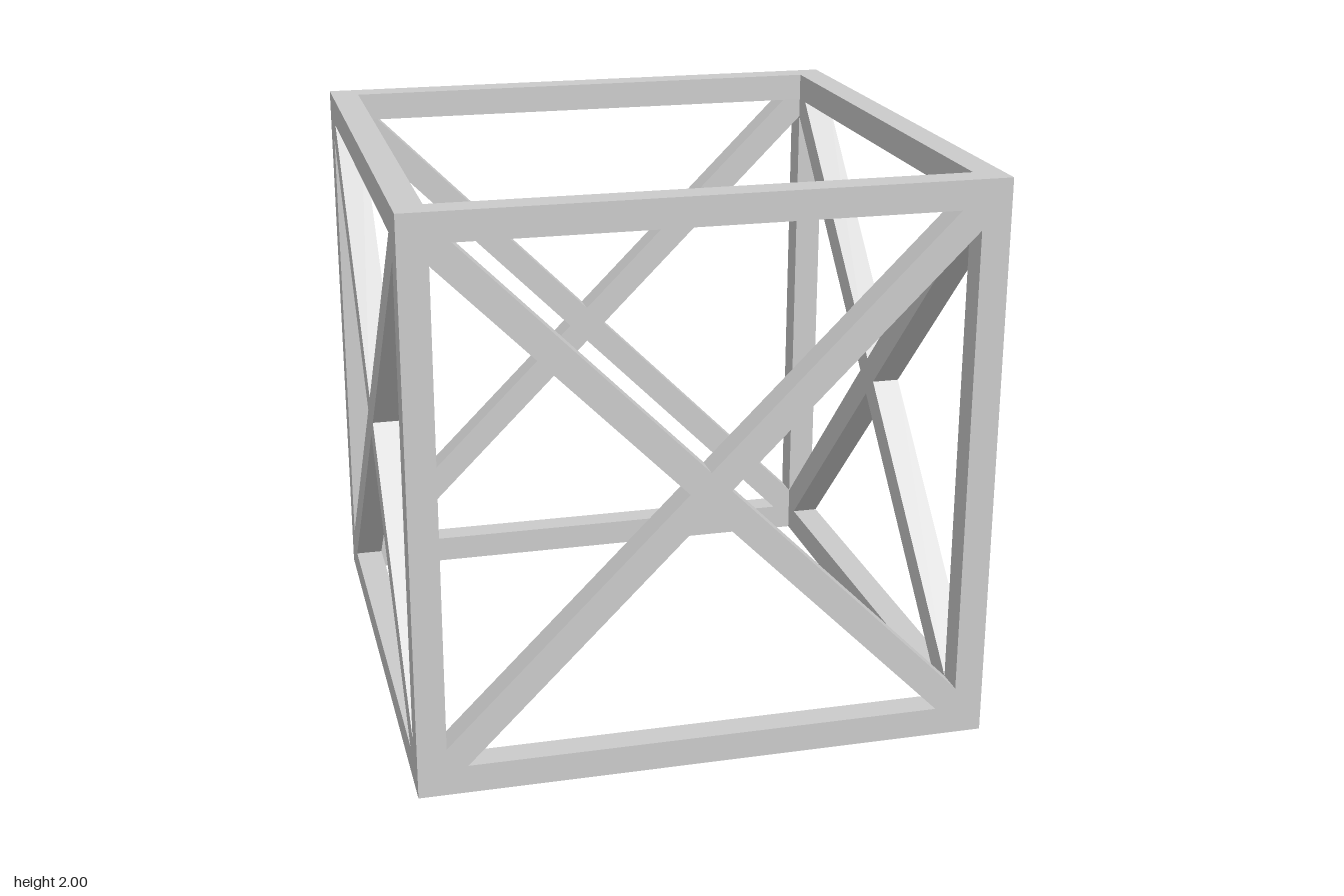
import * as THREE from 'three';

const T = 0.1;            // beam thickness
const IN = 1 - T;         // half-size of each opening
const MID = 1 - T / 2;    // beam centre line
const C = T / Math.SQRT2; // half-width of a diagonal along the axes

export function createModel() {
  const group = new THREE.Group();
  const material = new THREE.MeshStandardMaterial({ color: 0xcccccc, flatShading: true });
  const add = (name, geometry, x, y, z) => {
    const mesh = new THREE.Mesh(geometry, material);
    mesh.name = name;
    mesh.position.set(x, y, z);
    group.add(mesh);
    return mesh;
  };

  // Cube frame: corner posts, and rails at top and bottom
  const post = new THREE.BoxGeometry(T, 2, T);
  const railX = new THREE.BoxGeometry(2 * IN, T, T);
  const railZ = new THREE.BoxGeometry(T, T, 2 * IN);
  for (const a of [-MID, MID]) {
    for (const b of [-MID, MID]) {
      add('cornerPost', post, a, 1, b);
      add('crossRail', railX, 0, 1 + a, b);
      add('sideRail', railZ, a, 1 + b, 0);
    }
  }

  // X-shaped brace, cut to fit the corners of the opening
  const outline = [];
  const quarter = [[C, 0], [IN, IN - C], [IN, IN], [IN - C, IN]];
  for (let i = 0; i < 4; i++) {
    for (const [x, y] of quarter) {
      outline.push(new THREE.Vector2(x, y).rotateAround(new THREE.Vector2(), i * Math.PI / 2));
    }
  }
  // Each quarter ends on its own side of the diagonal; the next starts at the crossing notch
  const brace = new THREE.ExtrudeGeometry(new THREE.Shape(outline), { depth: T, bevelEnabled: false });
  brace.translate(0, 0, IN);

  // One brace in each upright face; top and bottom stay open
  ['frontBrace', 'leftBrace', 'backBrace', 'rightBrace'].forEach((name, i) => {
    add(name, brace, 0, 1, 0).rotation.y = i * Math.PI / 2;
  });

  return group;
}
